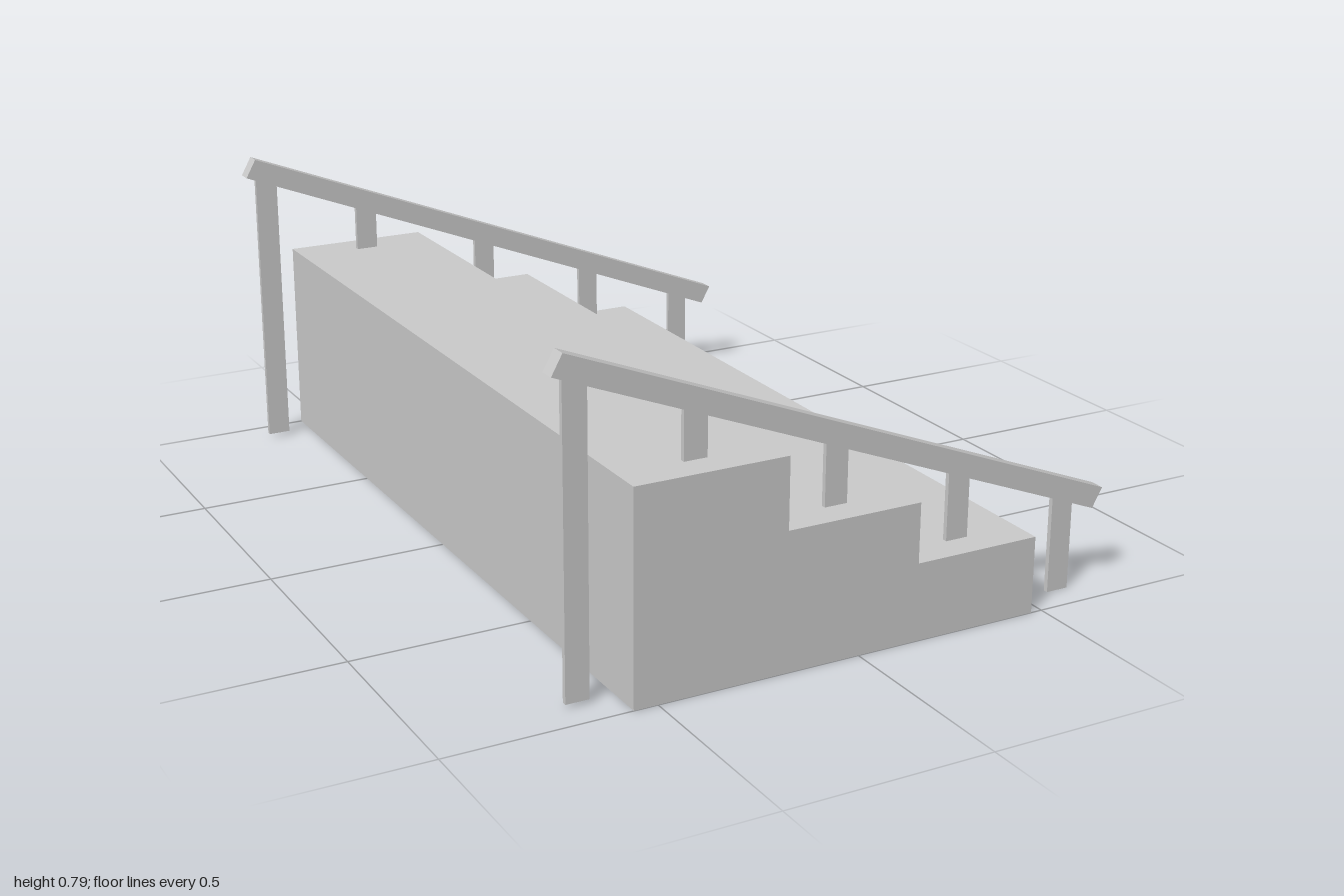
import * as THREE from 'three';

const material = new THREE.MeshStandardMaterial({ color: 0xcccccc, flatShading: true });

// Flat side outline (x, y) extruded along z, centred on the given z
function slab(name, points, depth, z) {
  const shape = new THREE.Shape(points.map(([x, y]) => new THREE.Vector2(x, y)));
  const geometry = new THREE.ExtrudeGeometry(shape, { depth, bevelEnabled: false });
  geometry.translate(0, 0, z - depth / 2);
  const mesh = new THREE.Mesh(geometry, material);
  mesh.name = name;
  return mesh;
}

// Height of the handrail's underside at x
const railUnderside = (x) => 0.742 - (x + 0.71) * (0.546 / 1.39);

export function createModel() {
  const model = new THREE.Group();
  model.name = 'staircase';

  // Solid block of three wide steps
  model.add(slab('steps', [
    [-0.558, 0], [0.471, 0], [0.471, 0.188], [0.152, 0.188],
    [0.152, 0.333], [-0.186, 0.333], [-0.186, 0.503], [-0.558, 0.503],
  ], 2, 0));

  // Centre x and foot height of each post, from the high end down
  const posts = [[-0.652, 0.01], [-0.372, 0.503], [-0.021, 0.333], [0.306, 0.188], [0.602, 0]];
  const half = 0.0285;

  for (const [side, z] of [['front', 0.92], ['back', -0.92]]) {
    const railing = new THREE.Group();
    railing.name = side + 'Railing';

    // Sloping handrail with square-cut ends
    railing.add(slab('handrail', [
      [-0.71, 0.742], [0.68, 0.196], [0.706, 0.243], [-0.684, 0.789],
    ], 0.038, z));

    // Thin flat posts, cut to the slope of the rail
    posts.forEach(([x, foot], i) => {
      const a = x - half, b = x + half;
      railing.add(slab('post' + (i + 1), [
        [a, foot], [b, foot], [b, railUnderside(b)], [a, railUnderside(a)],
      ], 0.012, z));
    });
    model.add(railing);
  }
  return model;
}
